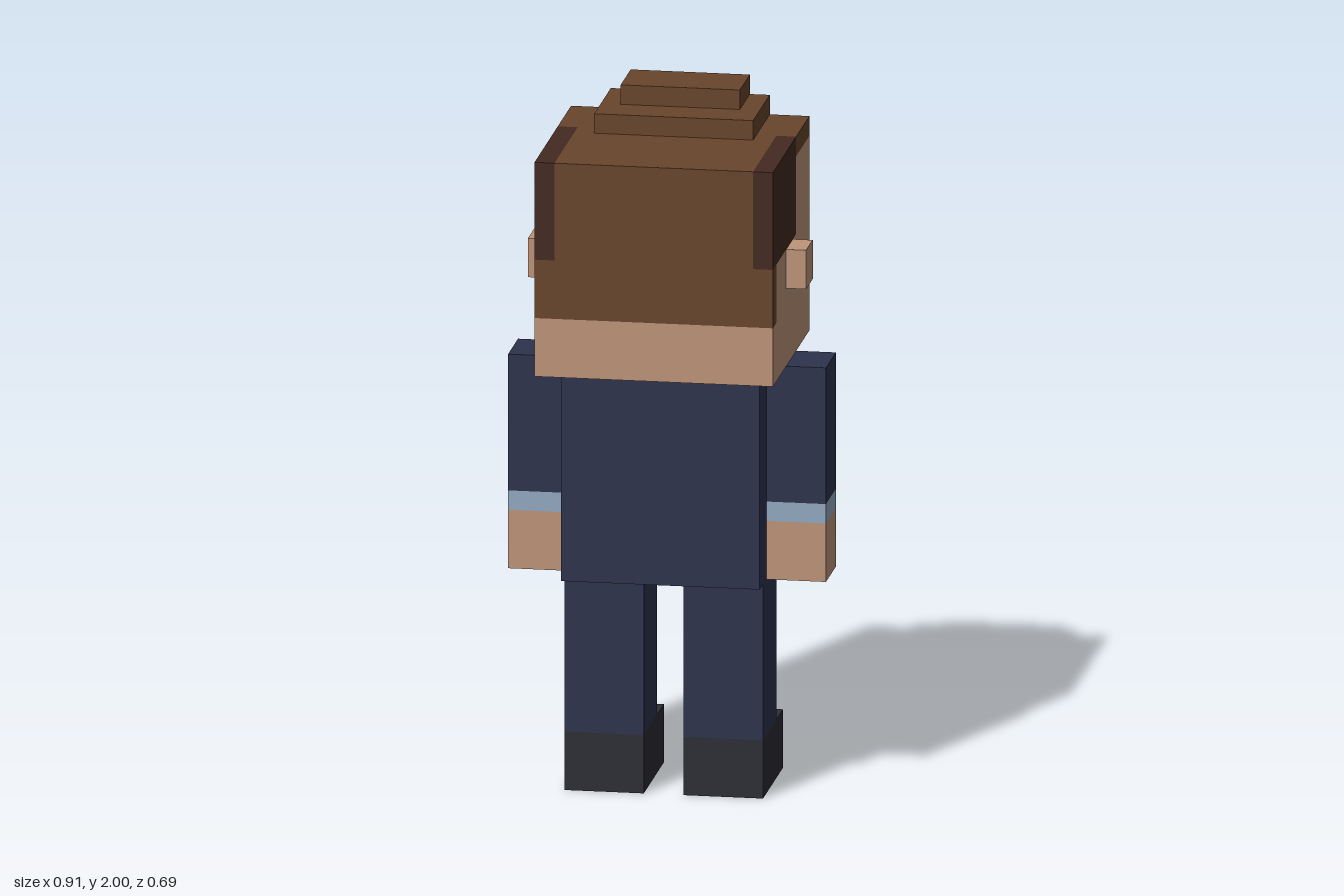
import * as THREE from 'three';

const V = 2 / 35; // one voxel: the figure is 35 voxels tall

function mat(name, color) {
  const m = new THREE.MeshStandardMaterial({ color });
  m.name = name;
  return m;
}

export function createModel() {
  const skin = mat('skin', 0xbd9479);
  const hair = mat('brown hair', 0x68452c);
  const darkHair = mat('dark brown hair', 0x442a21);
  const navy = mat('navy cloth', 0x2c334d);
  const shirtBlue = mat('light blue shirt', 0x92a8c0);
  const shoeGrey = mat('dark grey leather', 0x2d2d35);
  const gold = mat('gold', 0xc9a21c);

  const model = new THREE.Group();
  model.name = 'blockFigure';

  const group = (name) => {
    const g = new THREE.Group();
    g.name = name;
    model.add(g);
    return g;
  };

  // Box between two corners given in voxels
  const box = (parent, name, material, [x0, x1], [y0, y1], [z0, z1]) => {
    const geo = new THREE.BoxGeometry((x1 - x0) * V, (y1 - y0) * V, (z1 - z0) * V);
    const mesh = new THREE.Mesh(geo, material);
    mesh.name = name;
    mesh.position.set((x0 + x1) / 2 * V, (y0 + y1) / 2 * V, (z0 + z1) / 2 * V);
    parent.add(mesh);
  };

  // The same box on both sides of the body
  const pair = (parent, name, material, [x0, x1], y, z) => {
    box(parent, 'left' + name, material, [x0, x1], y, z);
    box(parent, 'right' + name, material, [-x1, -x0], y, z);
  };

  // Legs and shoes
  const legs = group('legs');
  pair(legs, 'Shoe', shoeGrey, [1, 5], [0, 3], [-3, 3]);
  pair(legs, 'Trouser', navy, [1, 5], [3, 11], [-1, 3]);

  // Jacket with lapels, button, shirt front and badge
  const jacket = group('jacket');
  box(jacket, 'torso', navy, [-5, 5], [11, 22], [-2, 4]);
  box(jacket, 'shirtFront', shirtBlue, [-2, 2], [16, 22], [-2.06, -2]);
  pair(jacket, 'Lapel', navy, [2, 3], [15, 22], [-3, -2]);
  box(jacket, 'button', navy, [-1, 1], [12, 13], [-3, -2]);
  box(jacket, 'badge', gold, [-4, -3], [19, 20], [-3, -2]);

  // Arms
  const arms = group('arms');
  pair(arms, 'Hand', skin, [5, 8], [11, 14], [-1, 2]);
  pair(arms, 'Cuff', shirtBlue, [5, 8], [14, 15], [-1, 2]);
  pair(arms, 'Sleeve', navy, [5, 8], [15, 22], [-1, 2]);

  // Head, nose and ears
  const head = group('head');
  box(head, 'jaw', skin, [-6, 6], [22, 25], [-5, 6]);
  box(head, 'cheeks', skin, [-6, 6], [25, 28], [-5, 5]);
  box(head, 'forehead', skin, [-6, 6], [28, 32], [-5, -1]);
  box(head, 'nose', skin, [-1, 1], [24, 26], [-6, -5]);
  pair(head, 'Ear', skin, [6, 7], [26, 28], [0, 2]);

  // Hair: nape, crown, dark sides, fringe and stepped quiff
  const hairGroup = group('hair');
  box(hairGroup, 'nape', hair, [-6, 6], [25, 28], [5, 6]);
  box(hairGroup, 'crown', hair, [-5, 5], [28, 33], [-1, 6]);
  pair(hairGroup, 'SideHair', darkHair, [5, 6], [28, 33], [-1, 6]);
  box(hairGroup, 'fringe', hair, [-6, 6], [32, 33], [-5, -1]);
  box(hairGroup, 'quiffLower', hair, [-4, 4], [33, 34], [-5, 0]);
  box(hairGroup, 'quiffUpper', hair, [-3, 3], [34, 35], [-5, -2]);

  return model;
}
